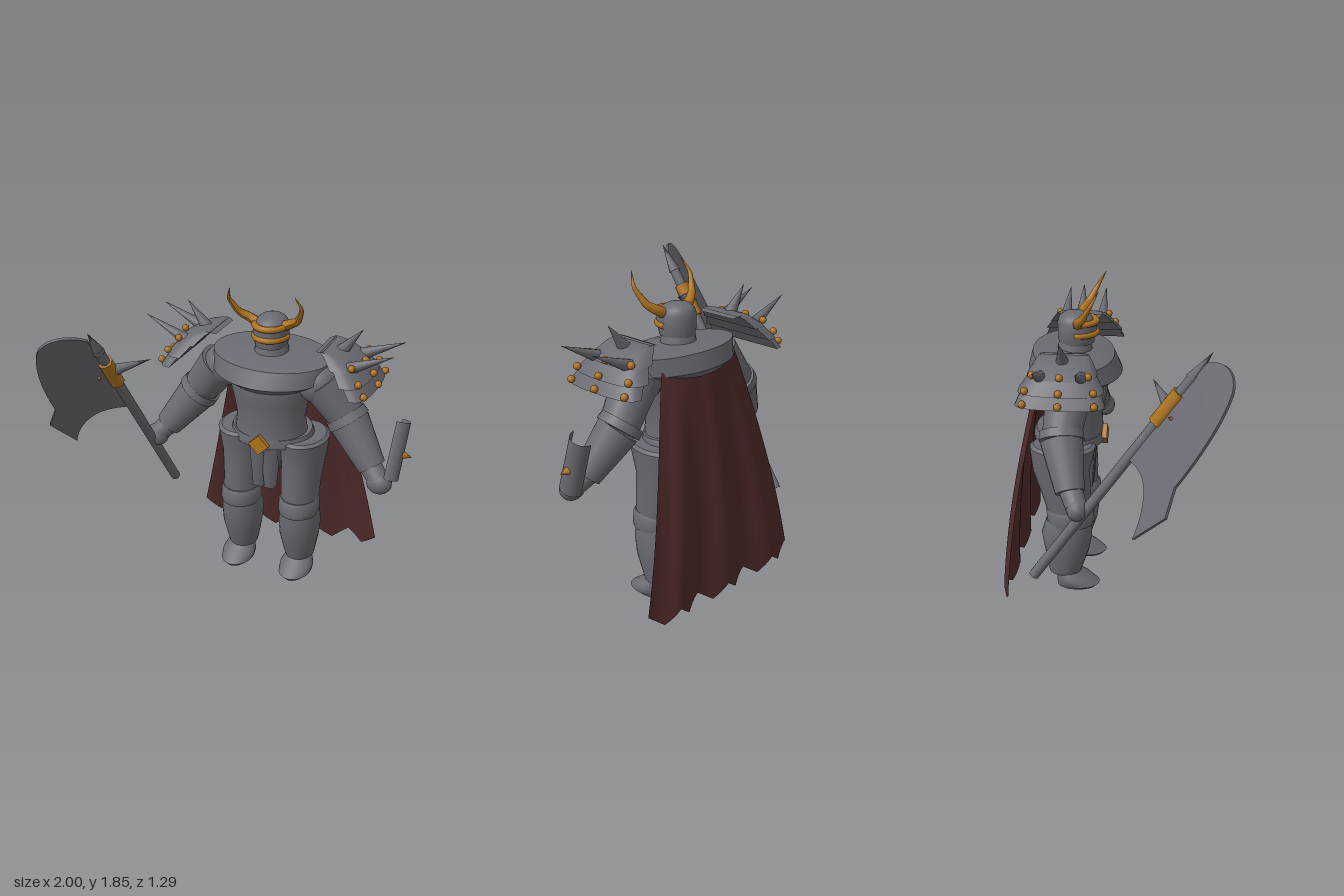
import * as THREE from 'three';
import { toCreasedNormals } from 'three/addons/utils/BufferGeometryUtils.js';

const V = (x, y, z) => new THREE.Vector3(x, y, z);
const UP = V(0, 1, 0);
const CX = 0.14; // body centre line

export function createModel() {
  const model = new THREE.Group();
  const mat = (name, color, side = THREE.FrontSide) => {
    const m = new THREE.MeshStandardMaterial({ color, side });
    m.name = name;
    return m;
  };
  const steel = mat('steel', 0x6a6a72, THREE.DoubleSide);
  const gold = mat('gold', 0xad731e);
  const cloth = mat('darkRedCloth', 0x4e2929, THREE.DoubleSide);

  const add = (name, geo, material, parent = model) => {
    const m = new THREE.Mesh(geo, material);
    m.name = name;
    parent.add(m);
    return m;
  };

  const gridGeometry = (pos, rows, cols, wrap) => {
    const idx = [];
    for (let j = 0; j < rows - 1; j++) for (let i = 0; i < (wrap ? cols : cols - 1); i++) {
      const k = (i + 1) % cols, a = j * cols + i, b = j * cols + k;
      idx.push(a, b, b + cols, a, b + cols, a + cols);
    }
    return { pos, idx };
  };
  const finish = ({ pos, idx }, crease = 0.6) => {
    const g = new THREE.BufferGeometry();
    g.setAttribute('position', new THREE.Float32BufferAttribute(pos, 3));
    g.setIndex(idx);
    return toCreasedNormals(g, crease);
  };

  // Closed solid from elliptical rings [y, cz, rx, rz], bottom to top; tilt lowers the front
  const loft = (rings, cx, tilt = 0, n = 24) => {
    const pos = [];
    for (const [y, cz, rx, rz] of rings) for (let i = 0; i < n; i++) {
      const a = i / n * Math.PI * 2;
      pos.push(cx + rx * Math.sin(a), y - tilt * Math.cos(a) * rx, cz + rz * Math.cos(a));
    }
    const g = gridGeometry(pos, rings.length, n, true);
    const last = rings.length - 1, c = rings.length * n;
    for (const r of [rings[0], rings[last]]) pos.push(cx, r[0], r[1]);
    for (let i = 0; i < n; i++) {
      const k = (i + 1) % n;
      g.idx.push(c, k, i, c + 1, last * n + i, last * n + k);
    }
    return finish(g);
  };

  // Tapered rod from p (radius r0) to q (radius r1)
  const rod = (name, p, q, r0, r1, material = steel, sides = 20) => {
    const d = q.clone().sub(p);
    const m = add(name, new THREE.CylinderGeometry(r1, r0, d.length(), sides), material);
    m.position.copy(p).addScaledVector(d, 0.5);
    m.quaternion.setFromUnitVectors(UP, d.normalize());
  };
  const ball = (name, p, r, material = steel, sides = 12) => {
    const m = add(name, new THREE.SphereGeometry(r, sides, sides * 0.66 | 0), material);
    m.position.copy(p);
    return m;
  };

  // Torso, belt and hips
  add('torso', loft([[0.94, -0.27, 0.22, 0.18], [1.05, -0.26, 0.205, 0.165], [1.17, -0.25, 0.225, 0.18],
    [1.3, -0.25, 0.26, 0.2], [1.38, -0.25, 0.26, 0.18]], CX), steel);
  add('belt', loft([[0.91, -0.29, 0.25, 0.205], [0.935, -0.29, 0.25, 0.205], [0.965, -0.285, 0.24, 0.195]], CX, 0.06), steel);
  add('pelvis', loft([[0.7, -0.29, 0.07, 0.1], [0.92, -0.29, 0.2, 0.185]], CX), steel);
  add('collar', loft([[1.28, -0.25, 0.25, 0.2], [1.34, -0.245, 0.345, 0.265], [1.435, -0.255, 0.35, 0.23],
    [1.455, -0.25, 0.12, 0.12]], CX, 0.07, 36), steel);
  const buckle = add('beltBuckle', new THREE.BoxGeometry(0.088, 0.088, 0.04), gold);
  buckle.position.set(CX, 0.922, -0.085);
  buckle.rotation.z = Math.PI / 4;

  // Head with face bands and horns
  add('neck', loft([[1.4, -0.25, 0.11, 0.11], [1.5, -0.25, 0.088, 0.088]], CX), steel);
  add('helmet', loft([[1.49, -0.24, 0.09, 0.1], [1.53, -0.24, 0.1, 0.105], [1.61, -0.24, 0.1, 0.105],
    [1.64, -0.245, 0.085, 0.09], [1.66, -0.25, 0.06, 0.06], [1.67, -0.25, 0.02, 0.02]], CX), steel);
  for (const y of [1.55, 1.615]) {
    const g = new THREE.TorusGeometry(0.094, 0.018, 8, 20, Math.PI).rotateX(Math.PI / 2).scale(1, 1, 1.2);
    add('faceBand', g, gold).position.set(CX, y, -0.24);
  }
  const visor = new THREE.CylinderGeometry(0.1, 0.1, 0.045, 20, 1, true, -Math.PI / 2, Math.PI).scale(1, 1, 1.12);
  add('visor', visor, steel).position.set(CX, 1.58, -0.235);

  const horn = s => {
    const curve = new THREE.CatmullRomCurve3([[0.07, 1.61, -0.22], [0.125, 1.64, -0.215], [0.175, 1.675, -0.185],
      [0.215, 1.765, -0.135], [0.19, 1.845, -0.09]].map(([x, y, z]) => V(CX + s * x, y, z)), false, 'catmullrom', 0.25);
    const n = 20, sides = 8;
    const g = new THREE.TubeGeometry(curve, n, 0.03, sides);
    const p = g.attributes.position, v = V();
    for (let i = 0; i < p.count; i++) {
      const t = Math.floor(i / (sides + 1)) / n, c = curve.getPointAt(t);
      v.fromBufferAttribute(p, i).sub(c).multiplyScalar(1 - 0.97 * t ** 1.3).add(c);
      p.setXYZ(i, v.x, v.y, v.z);
    }
    g.computeVertexNormals();
    add('horn', g, gold);
  };

  // Stepped shoulder plate: U-shaped rings [y, edgeX, outerX, halfWidth], closed below
  const plateRings = [[1.33, 0.54, 0.63, 0.24], [1.4, 0.49, 0.585, 0.21], [1.392, 0.48, 0.6, 0.23], [1.47, 0.42, 0.535, 0.175],
    [1.462, 0.41, 0.55, 0.188], [1.52, 0.36, 0.46, 0.15], [1.54, 0.33, 0.4, 0.13], [1.53, 0.3, 0.305, 0.115]];
  const platePoint = ([y, xe, xo, w], a, s) =>
    V(CX + s * (xe + (xo - xe) * Math.cos(a) ** 0.6), y, -0.26 + w * Math.sign(a) * Math.abs(Math.sin(a)) ** 0.8);
  const pauldron = s => {
    const plate = (name, n) => {
      const pos = [];
      for (const r of plateRings) for (let i = 0; i < n; i++) {
        pos.push(...platePoint(r, (i / (n - 1) - 0.5) * 3.1415, s).toArray());
      }
      add(name, finish(gridGeometry(pos, plateRings.length, n, false)), steel);
    };
    plate('shoulderPlate', 17);
    plate('shoulderPlateLining', 2);
    const rim = Array.from({ length: 17 }, (_, i) => platePoint(plateRings[0], (i / 16 - 0.5) * 3.1415, s));
    const rimPos = [...rim, ...rim.map(p => V(CX + s * 0.54, p.y, p.z))].flatMap(p => p.toArray());
    add('shoulderPlateRim', finish(gridGeometry(rimPos, 2, 17, false)), steel);
    for (const j of [0, 2, 4]) for (const a of [-0.85, 0, 0.85]) {
      ball('shoulderStud', platePoint(plateRings[j], a, s).add(V(0, 0.022, 0)), 0.021, gold, 10);
    }
    for (const z of [-0.37, -0.15]) {
      rod('shoulderSpike', V(CX + s * 0.46, 1.45, z), V(CX + s * 0.745, 1.58, z), 0.04, 0, steel, 10);
    }
    rod('shoulderSpike', V(CX + s * 0.4, 1.5, -0.26), V(CX + s * 0.53, 1.66, -0.26), 0.042, 0, steel, 10);
  };

  const arm = s => {
    const at = (x, y, z) => V(CX + s * x, y, z);
    ball('shoulder', at(0.29, 1.31, -0.24), 0.125, steel, 20);
    rod('upperArm', at(0.31, 1.32, -0.24), at(0.48, 1.09, -0.27), 0.127, 0.105);
    rod('bracerCuff', at(0.445, 1.13, -0.27), at(0.475, 1.09, -0.265), 0.12, 0.125);
    rod('bracer', at(0.475, 1.09, -0.265), at(0.645, 0.865, -0.2), 0.118, 0.08);
    ball('hand', at(0.705, 0.8, -0.155), 0.075, steel, 14).scale.set(1, 0.9, 0.8);
    rod('wrist', at(0.63, 0.88, -0.2), at(0.7, 0.81, -0.16), 0.065, 0.06);
  };

  const leg = s => {
    const x = CX + s * 0.188;
    add('thigh', loft([[0.5, -0.275, 0.11, 0.125], [0.62, -0.29, 0.115, 0.145], [0.77, -0.315, 0.13, 0.165],
      [0.92, -0.305, 0.15, 0.19], [0.935, -0.305, 0.13, 0.17]], x), steel);
    add('kneeGuard', loft([[0.43, -0.265, 0.118, 0.135], [0.45, -0.265, 0.122, 0.14], [0.51, -0.27, 0.12, 0.14],
      [0.53, -0.27, 0.11, 0.13]], x), steel);
    add('shin', loft([[0.1, -0.305, 0.085, 0.095], [0.14, -0.3, 0.095, 0.105], [0.26, -0.29, 0.118, 0.135],
      [0.36, -0.29, 0.125, 0.15], [0.45, -0.275, 0.112, 0.135]], x), steel);
    add('foot', loft([[0, -0.235, 0.07, 0.115], [0.025, -0.225, 0.097, 0.128], [0.06, -0.25, 0.102, 0.105],
      [0.095, -0.28, 0.085, 0.075], [0.12, -0.3, 0.07, 0.065]], x + s * 0.005), steel);
    // Hanging plate between the thighs
    const flap = add('loinPlate', new THREE.CylinderGeometry(0.07, 0.04, 0.32, 4, 1).rotateY(Math.PI / 4), steel);
    flap.position.set(CX + s * 0.036, 0.76, -0.18);
  };

  for (const s of [-1, 1]) { horn(s); pauldron(s); arm(s); leg(s); }

  // Curved guard on the left forearm
  const guardTop = V(0.895, 1.14, -0.3), guardBottom = V(0.875, 0.82, -0.19);
  const guard = add('armGuard', new THREE.CylinderGeometry(0.065, 0.068, guardTop.distanceTo(guardBottom), 16, 1, true, 0, Math.PI), steel);
  guard.position.lerpVectors(guardBottom, guardTop, 0.5);
  guard.quaternion.setFromUnitVectors(UP, guardTop.clone().sub(guardBottom).normalize());
  rod('guardStud', V(0.94, 0.96, -0.24), V(1.0, 0.955, -0.24), 0.026, 0, gold, 6);

  // Cape: widening folds with a ragged hem
  const cols = 73, rows = 17, capePos = [];
  for (let j = 0; j < rows; j++) for (let i = 0; i < cols; i++) {
    const t = j / (rows - 1), u = i / (cols - 1) * 2 - 1;
    const tooth = Math.abs(((u + 1) * 6) % 2 - 1);
    const hem = 0.055 + 0.07 * tooth + 0.02 * u * u;
    const half = 0.285 + 0.3 * t ** 0.9;
    const fold = Math.cos(u * Math.PI * 3) * 0.028 * t;
    capePos.push(CX + u * half, THREE.MathUtils.lerp(1.4 - 0.02 * u * u, hem, t),
      -0.455 - 0.155 * Math.sin(t * 1.5) - fold + 0.06 * u * u * (1 - t));
  }
  add('cape', finish(gridGeometry(capePos, rows, cols, false), 1), cloth);

  // Axe, built upright with its blade towards -x, then leaned into the hand
  const axe = new THREE.Group();
  axe.name = 'axe';
  const along = V(0, 0.82, 0.572).normalize();
  const across = V(0.86, 0.29, -0.42);
  across.addScaledVector(along, -across.dot(along)).normalize();
  axe.quaternion.setFromRotationMatrix(new THREE.Matrix4().makeBasis(across, along, across.clone().cross(along)));
  axe.position.set(-0.577, 0.37, -0.405);
  model.add(axe);
  const turned = (name, y, h, r0, r1, material, sides = 16) => {
    add(name, new THREE.CylinderGeometry(r1, r0, h, sides), material, axe).position.y = y + h / 2;
  };
  turned('axeShaft', 0.01, 1.49, 0.029, 0.029, steel);
  turned('axeTip', 1.47, 0.18, 0.035, 0, steel, 8);
  turned('axeSleeve', 1.165, 0.21, 0.043, 0.043, gold, 8);
  const backSpike = add('axeBackSpike', new THREE.ConeGeometry(0.035, 0.22, 8).rotateZ(-Math.PI / 2), steel, axe);
  backSpike.position.set(0.125, 1.28, 0);
  const blade = new THREE.Shape();
  blade.moveTo(-0.02, 0.915);
  blade.lineTo(-0.02, 1.59);
  blade.bezierCurveTo(-0.1, 1.68, -0.22, 1.7, -0.29, 1.62);
  blade.bezierCurveTo(-0.37, 1.5, -0.4, 1.25, -0.402, 1.08);
  blade.lineTo(-0.488, 0.95);
  blade.lineTo(-0.408, 0.72);
  blade.quadraticCurveTo(-0.33, 0.9, -0.185, 0.94);
  blade.quadraticCurveTo(-0.1, 0.95, -0.02, 0.915);
  const bladeGeo = new THREE.ExtrudeGeometry(blade, { depth: 0.016, bevelEnabled: false, curveSegments: 10 });
  add('axeBlade', bladeGeo.translate(0, 0, -0.008), steel, axe);
  for (const s of [-1, 1]) {
    const rivet = add('bladeRivet', new THREE.ConeGeometry(0.012, 0.03, 6).rotateX(s * Math.PI / 2), gold, axe);
    rivet.position.set(-0.075, 1.26, s * 0.02);
  }
  return model;
}
